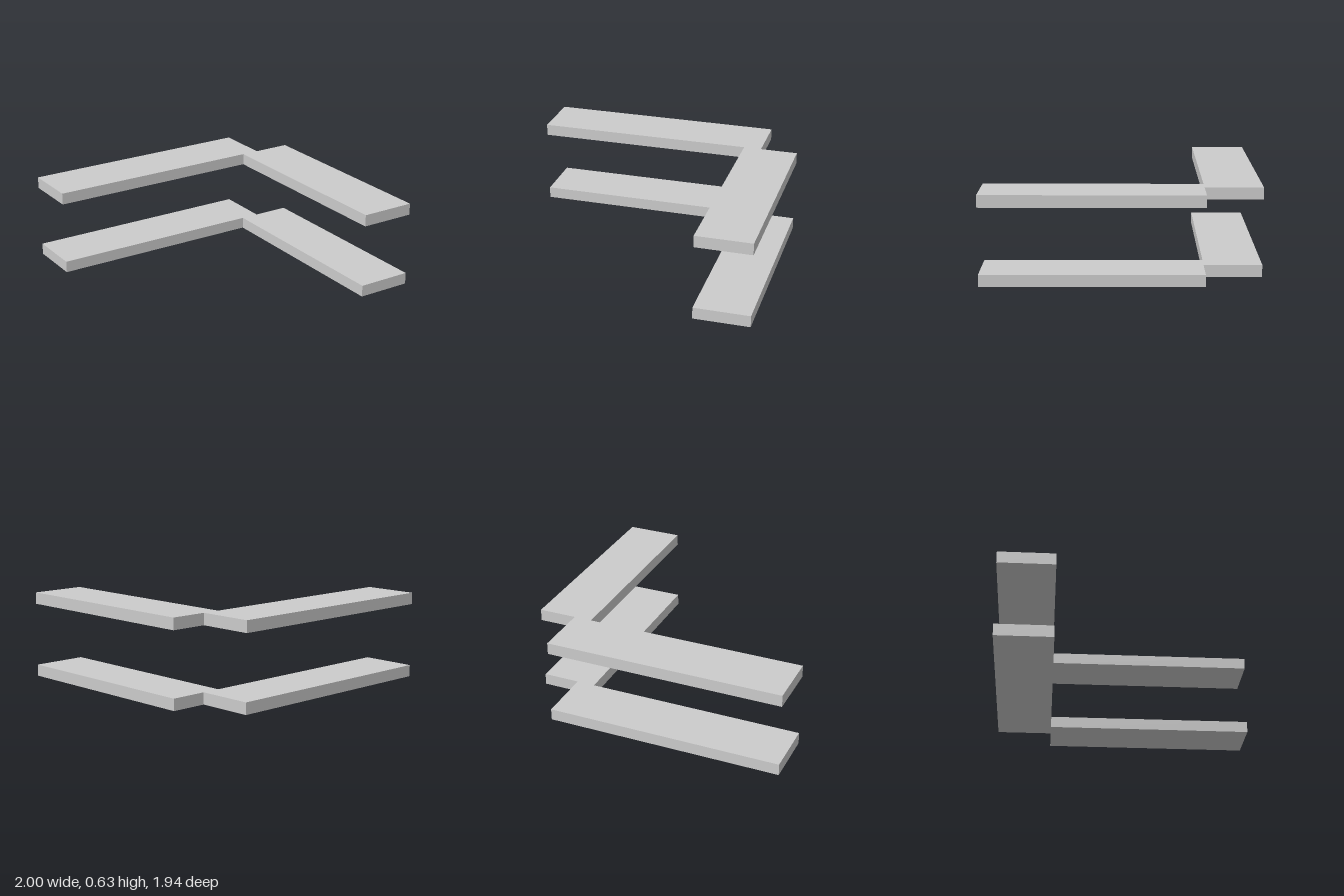
import * as THREE from 'three';

const material = new THREE.MeshStandardMaterial({ color: 0xcccccc, flatShading: true });
const THICKNESS = 0.085;

// Flat board spanning the given x and z ranges, resting on height y
function board(name, x0, x1, z0, z1, y) {
  const mesh = new THREE.Mesh(new THREE.BoxGeometry(x1 - x0, THICKNESS, z1 - z0), material);
  mesh.position.set((x0 + x1) / 2, y + THICKNESS / 2, (z0 + z1) / 2);
  mesh.name = name;
  return mesh;
}

export function createModel() {
  const model = new THREE.Group();
  model.name = 'cornerShelves';

  // Two identical L-shaped tiers, each a back board butted against a side board
  const tiers = [
    { name: 'lowerShelf', y: 0, left: -0.995 },
    { name: 'upperShelf', y: 0.546, left: -1 },
  ];
  for (const { name, y, left } of tiers) {
    const shelf = new THREE.Group();
    shelf.name = name;
    shelf.add(
      board('backBoard', left, left + 1.725, -0.97, -0.563, y),
      board('sideBoard', 0.595, 1, -0.563, 0.97, y),
    );
    model.add(shelf);
  }
  return model;
}
